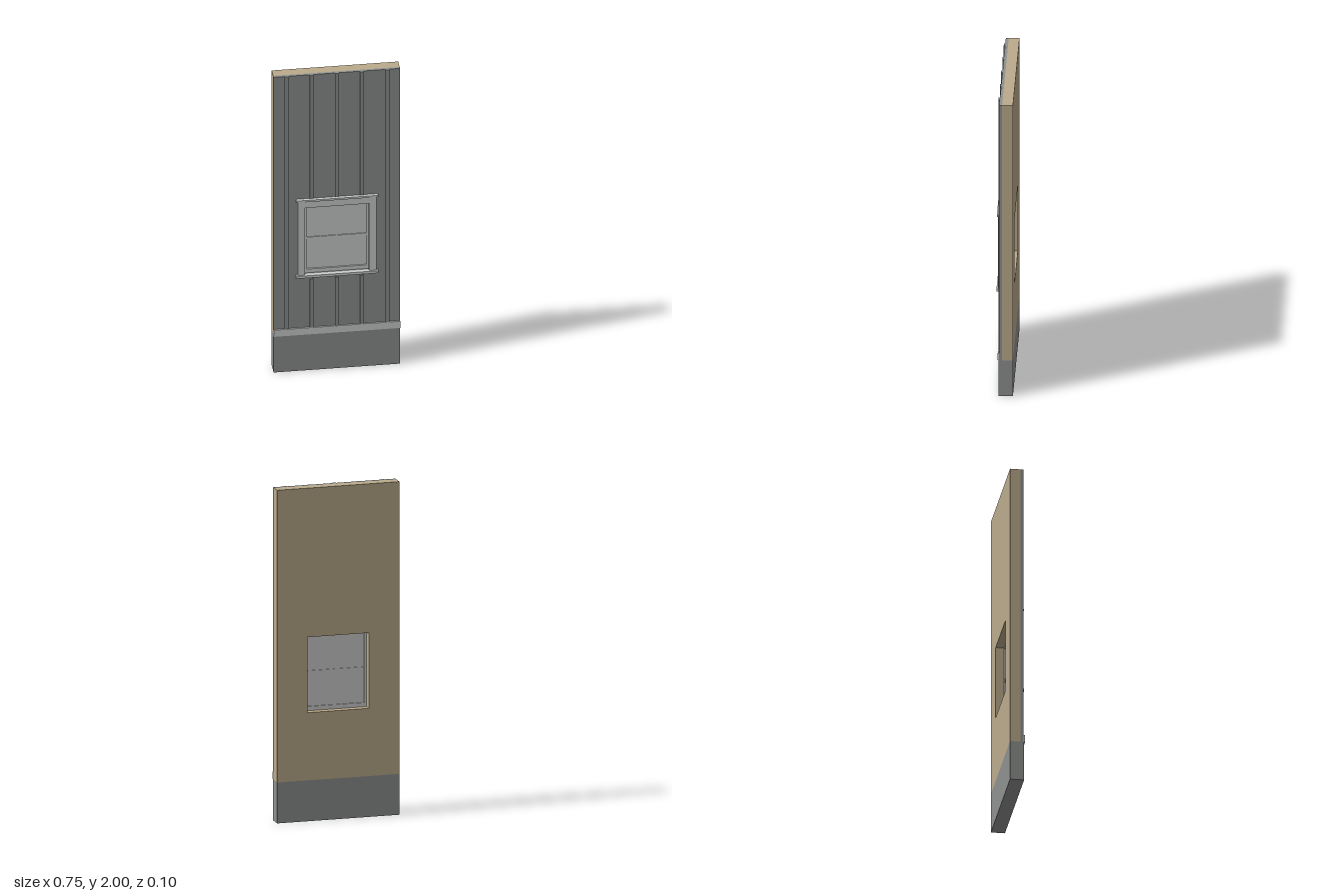
import * as THREE from 'three';

export function createModel() {
  const group = new THREE.Group();
  group.name = 'wallPanelWithWindow';

  const mat = (name, color) => {
    const m = new THREE.MeshStandardMaterial({ color });
    m.name = name;
    return m;
  };
  const grey = mat('sidingGrey', 0x8e918f);
  const trim = mat('trimLightGrey', 0xcdcfce);
  const tan = mat('interiorTan', 0xbcab8c);

  // Box given by its limits on each axis
  const box = (name, material, x0, x1, y0, y1, z0, z1) => {
    const mesh = new THREE.Mesh(new THREE.BoxGeometry(x1 - x0, y1 - y0, z1 - z0), material);
    mesh.position.set((x0 + x1) / 2, (y0 + y1) / 2, (z0 + z1) / 2);
    mesh.name = name;
    group.add(mesh);
  };

  const W = 0.373, BACK = -0.053, FACE = 0.027;
  const baseTop = 0.245;
  const open = { x: 0.187, y0: 0.652, y1: 1.105 };

  // Wall layer with the window opening cut through it
  const layer = (name, material, z0, z1) => {
    const s = new THREE.Shape();
    s.moveTo(-W, baseTop).lineTo(W, baseTop).lineTo(W, 2).lineTo(-W, 2).closePath();
    const h = new THREE.Path();
    h.moveTo(-open.x, open.y0).lineTo(-open.x, open.y1).lineTo(open.x, open.y1).lineTo(open.x, open.y0).closePath();
    s.holes.push(h);
    const mesh = new THREE.Mesh(
      new THREE.ExtrudeGeometry(s, { depth: z1 - z0, bevelEnabled: false }), material);
    mesh.position.z = z0;
    mesh.name = name;
    group.add(mesh);
  };
  layer('innerWall', tan, BACK, 0.01);
  layer('siding', grey, 0.01, FACE);

  // Foundation and the light band above it
  box('foundation', grey, -W, W, 0, baseTop, BACK, 0.03);
  box('waterTable', trim, -W, W, baseTop, 0.29, FACE, 0.036);

  // Vertical battens, broken around the window
  for (let i = -2; i <= 2; i++) {
    const x = i * 0.149, w = 0.011;
    if (Math.abs(i) === 2) {
      box('batten', grey, x - w, x + w, 0.29, 2, FACE, 0.035);
    } else {
      box('upperBatten', grey, x - w, x + w, 1.165, 2, FACE, 0.035);
      box('lowerBatten', grey, x - w, x + w, 0.29, 0.62, FACE, 0.035);
    }
  }

  // Window casing, cap and sill
  for (const s of [-1, 1]) {
    const a = s * 0.19, b = s * 0.232;
    box('sideCasing', trim, Math.min(a, b), Math.max(a, b), 0.648, 1.15, FACE, 0.041);
  }
  box('headCasing', trim, -0.19, 0.19, open.y1, 1.15, FACE, 0.038);
  box('headCap', trim, -0.242, 0.242, 1.15, 1.162, FACE, 0.048);
  box('sill', trim, -0.242, 0.242, 0.636, 0.652, FACE, 0.05);

  // Sash frame
  const sz0 = -0.006, sz1 = 0.016, in0 = 0.677, in1 = 1.093, inX = 0.174;
  box('sashBottomRail', trim, -open.x, open.x, open.y0, in0, sz0, sz1);
  box('sashTopRail', trim, -open.x, open.x, in1, open.y1, sz0, sz1);
  box('sashStile', trim, -open.x, -inX, in0, in1, sz0, sz1);
  box('sashStile', trim, inX, open.x, in0, in1, sz0, sz1);

  // Pane and glazing bars
  box('pane', trim, -inX, inX, in0, in1, 0.002, 0.007);
  box('verticalBar', trim, -0.006, 0.006, in0, in1, -0.003, 0.012);
  for (const s of [-1, 1]) {
    const x0 = s < 0 ? -inX : 0.006;
    box('horizontalBar', trim, x0, x0 + inX - 0.006, 0.879, 0.891, -0.003, 0.012);
  }
  return group;
}
